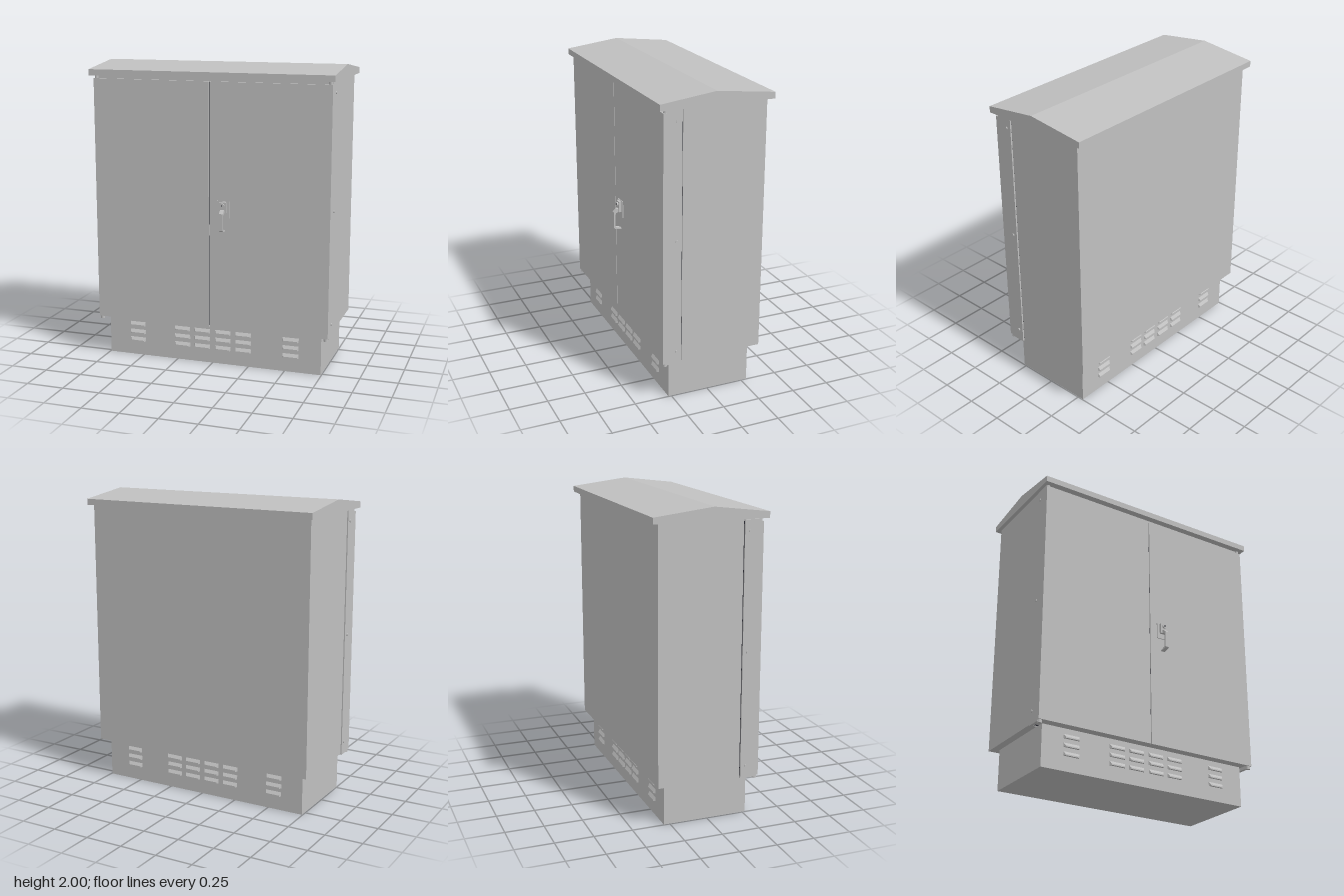
import * as THREE from 'three';

export function createModel() {
  const cabinet = new THREE.Group();
  cabinet.name = 'outdoorCabinet';
  const paint = new THREE.MeshStandardMaterial({ color: 0xc0c0c0 });
  paint.name = 'greyPaint';
  const rubber = new THREE.MeshStandardMaterial({ color: 0x2b2c34 });
  rubber.name = 'darkSeal';

  function add(name, geometry, x = 0, y = 0, z = 0, parent = cabinet, material = paint) {
    const mesh = new THREE.Mesh(geometry, material);
    mesh.name = name;
    mesh.position.set(x, y, z);
    parent.add(mesh);
    return mesh;
  }
  // Box given by its limits along each axis
  function block(name, [x0, x1], [y0, y1], [z0, z1], parent, material) {
    return add(name, new THREE.BoxGeometry(x1 - x0, y1 - y0, z1 - z0),
      (x0 + x1) / 2, (y0 + y1) / 2, (z0 + z1) / 2, parent, material);
  }
  // Extrudes a (z, y) profile along x, centred on x = 0
  function extrudeAcross(points, width) {
    const shape = new THREE.Shape(points.map(([z, y]) => new THREE.Vector2(-z, y)));
    const geometry = new THREE.ExtrudeGeometry(shape, { depth: width, bevelEnabled: false });
    return geometry.translate(0, 0, -width / 2).rotateY(Math.PI / 2);
  }

  // Main housing and plinth
  block('plinth', [-0.745, 0.745], [0, 0.27], [-0.29, 0.27]);
  block('housing', [-0.795, 0.795], [0.27, 1.915], [-0.345, 0.202]);
  block('doorSeal', [-0.79, 0.79], [0.275, 1.9], [0.202, 0.208], cabinet, rubber);
  block('doorFrame', [-0.785, 0.785], [0.28, 1.915], [0.208, 0.315]);
  block('centreSeal', [-0.01, 0.01], [0.28, 1.89], [0.315, 0.322], cabinet, rubber);

  // Pitched roof with a short vertical eave
  add('roof', extrudeAcross([[-0.385, 1.915], [0.36, 1.915], [0.36, 1.955], [0, 2], [-0.385, 1.955]], 1.64));

  // Doors, side flanges, bolts and hinge pins, mirrored
  for (const side of [-1, 1]) {
    const door = new THREE.Group();
    door.name = side > 0 ? 'leftDoor' : 'rightDoor';
    cabinet.add(door);
    const span = (a, b) => (side > 0 ? [a, b] : [-b, -a]);
    block('doorPanel', span(0.003, 0.8), [0.27, 1.895], [0.31, 0.33], door);
    block('sideFlange', span(0.78, 0.8), [0.26, 1.91], [0.208, 0.31], door);
    for (const y of [0.345, 1.09, 1.84]) {
      const bolt = add('sideBolt', new THREE.CylinderGeometry(0.009, 0.009, 0.012, 12), side * 0.801, y, 0.24, door);
      bolt.rotation.z = Math.PI / 2;
    }
    for (const y of [0.263, 1.902]) {
      add('hingePin', new THREE.CylinderGeometry(0.014, 0.014, 0.026, 16), side * 0.784, y, 0.311, door);
    }
  }

  // Louvre hood: a box whose outer face is narrowed and drawn down to a lip
  const hood = new THREE.BoxGeometry(0.11, 0.028, 0.014);
  const p = hood.attributes.position;
  for (let i = 0; i < p.count; i++) {
    if (p.getZ(i) < 0) continue;
    p.setX(i, p.getX(i) * 0.86);
    if (p.getY(i) > 0) p.setY(i, -0.006);
  }
  const hoodGeometry = hood.toNonIndexed();
  hoodGeometry.computeVertexNormals();
  for (const face of [1, -1]) {
    const vents = new THREE.Group();
    vents.name = face > 0 ? 'frontVents' : 'backVents';
    vents.rotation.y = face > 0 ? 0 : Math.PI;
    cabinet.add(vents);
    for (const x of [-0.54, -0.215, -0.073, 0.073, 0.215, 0.54]) {
      for (const y of [0.11, 0.165, 0.22]) {
        add('louvre', hoodGeometry, x, y, face > 0 ? 0.277 : 0.297, vents);
      }
    }
  }

  // Swing handle with its lock
  const handle = new THREE.Group();
  handle.name = 'handle';
  cabinet.add(handle);
  block('handlePlate', [0.054, 0.14], [1.02, 1.13], [0.328, 0.336], handle);
  block('lockHousing', [0.073, 0.121], [1.055, 1.125], [0.334, 0.352], handle);
  const lock = add('lockBarrel', new THREE.CylinderGeometry(0.014, 0.014, 0.012, 16), 0.097, 1.105, 0.356, handle);
  lock.rotation.x = Math.PI / 2;
  add('keySlot', new THREE.BoxGeometry(0.005, 0.014, 0.002), 0.097, 1.105, 0.362, handle, rubber);
  add('lever', extrudeAcross([
    [0.345, 1.075], [0.362, 1.075], [0.385, 1.055], [0.385, 0.945], [0.376, 0.937], [0.333, 0.93],
    [0.333, 0.939], [0.368, 0.948], [0.374, 0.956], [0.374, 1.046], [0.345, 1.056],
  ], 0.026), 0.097, 0, 0, handle);

  return cabinet;
}
